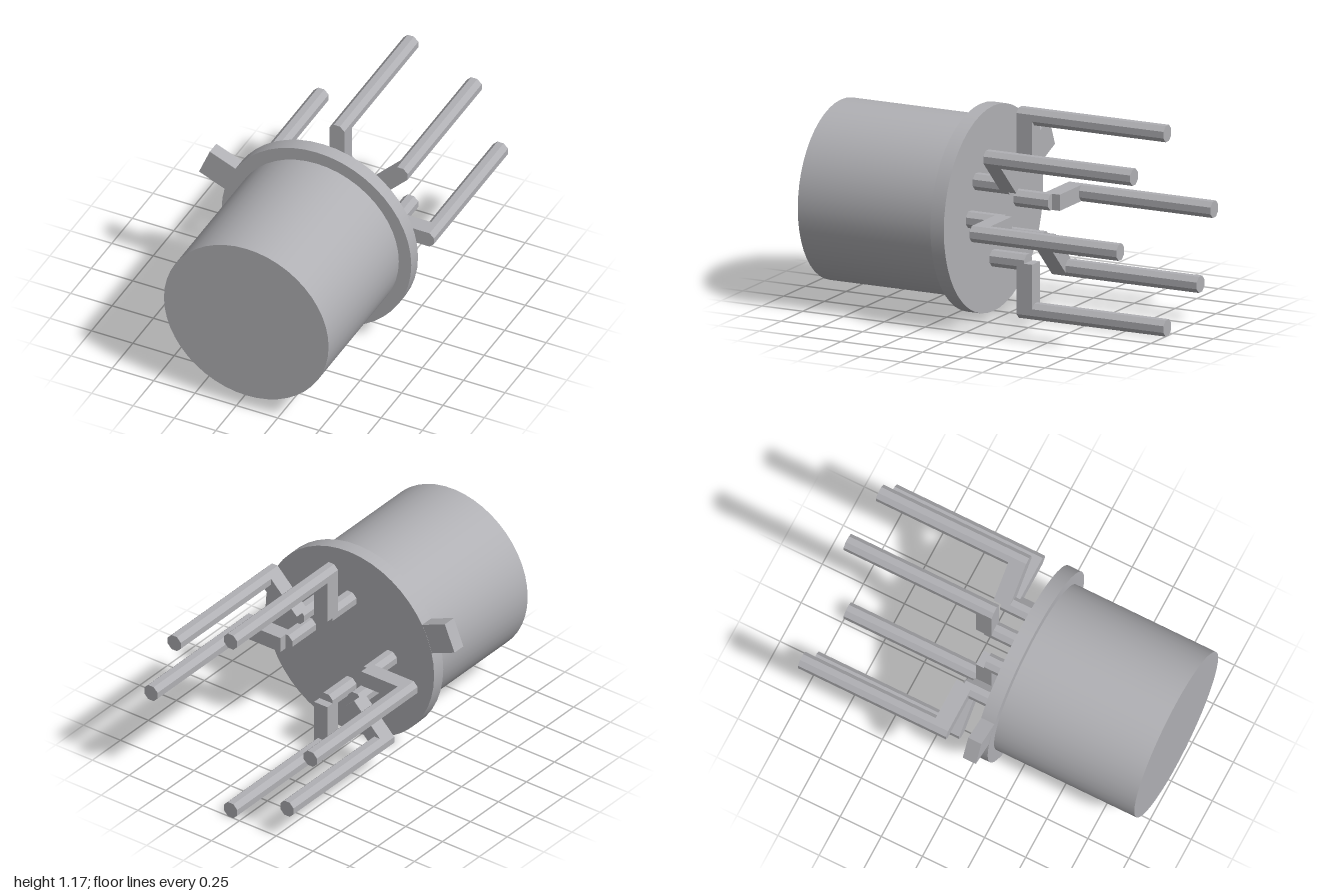
import * as THREE from 'three';

const CX = 0.06, CY = 0.588; // axis of the can
const metal = new THREE.MeshStandardMaterial({ color: 0xb0b0b4 });
metal.name = 'grey metal';

function part(name, geometry, x = 0, y = 0, z = 0) {
  const mesh = new THREE.Mesh(geometry, metal);
  mesh.name = name;
  mesh.position.set(x, y, z);
  return mesh;
}

// Smooth cylinder along z between two depths
function drum(name, radius, z0, z1) {
  const g = new THREE.CylinderGeometry(radius, radius, z1 - z0, 48);
  g.rotateX(Math.PI / 2);
  return part(name, g, CX, CY, (z0 + z1) / 2);
}

// Faceted eight-sided wire along z, flats facing the axes
function wire(name, x, y, z0, z1) {
  const side = new THREE.CylinderGeometry(0.0487, 0.0487, z1 - z0, 8);
  side.rotateY(Math.PI / 8);
  side.rotateX(Math.PI / 2);
  const g = side.toNonIndexed();
  g.computeVertexNormals();
  return part(name, g, x, y, (z0 + z1) / 2);
}

// Box reaching from radius r0 to r1 in the direction of an angle
function radialBox(name, angle, r0, r1, width, z0, z1) {
  const r = (r0 + r1) / 2;
  const box = part(name, new THREE.BoxGeometry(r1 - r0, width, z1 - z0),
    CX + r * Math.cos(angle), CY + r * Math.sin(angle), (z0 + z1) / 2);
  box.rotation.z = angle;
  return box;
}

export function createModel() {
  const model = new THREE.Group();
  model.name = 'transistorCan';

  // Can, flange and index tab
  model.add(drum('can', 0.4975, 0.14, 1));
  model.add(drum('flange', 0.573, 0.065, 0.147));
  model.add(radialBox('indexTab', THREE.MathUtils.degToRad(157.5), 0.5, 0.734, 0.17, 0.066, 0.146));

  // Six leads: short inner wire, radial bar, long outer wire
  const inner = 0.275, outer = 0.542;
  for (const degrees of [0, 45, 90, 180, 225, 270]) {
    const a = THREE.MathUtils.degToRad(degrees);
    const c = Math.cos(a), s = Math.sin(a);
    const lead = new THREE.Group();
    lead.name = 'lead' + degrees;
    lead.add(wire('innerWire', CX + inner * c, CY + inner * s, -0.147, 0.07));
    lead.add(radialBox('bar', a, inner, outer, 0.09, -0.195, -0.1));
    lead.add(wire('outerWire', CX + outer * c, CY + outer * s, -1, -0.1));
    model.add(lead);
  }
  return model;
}
